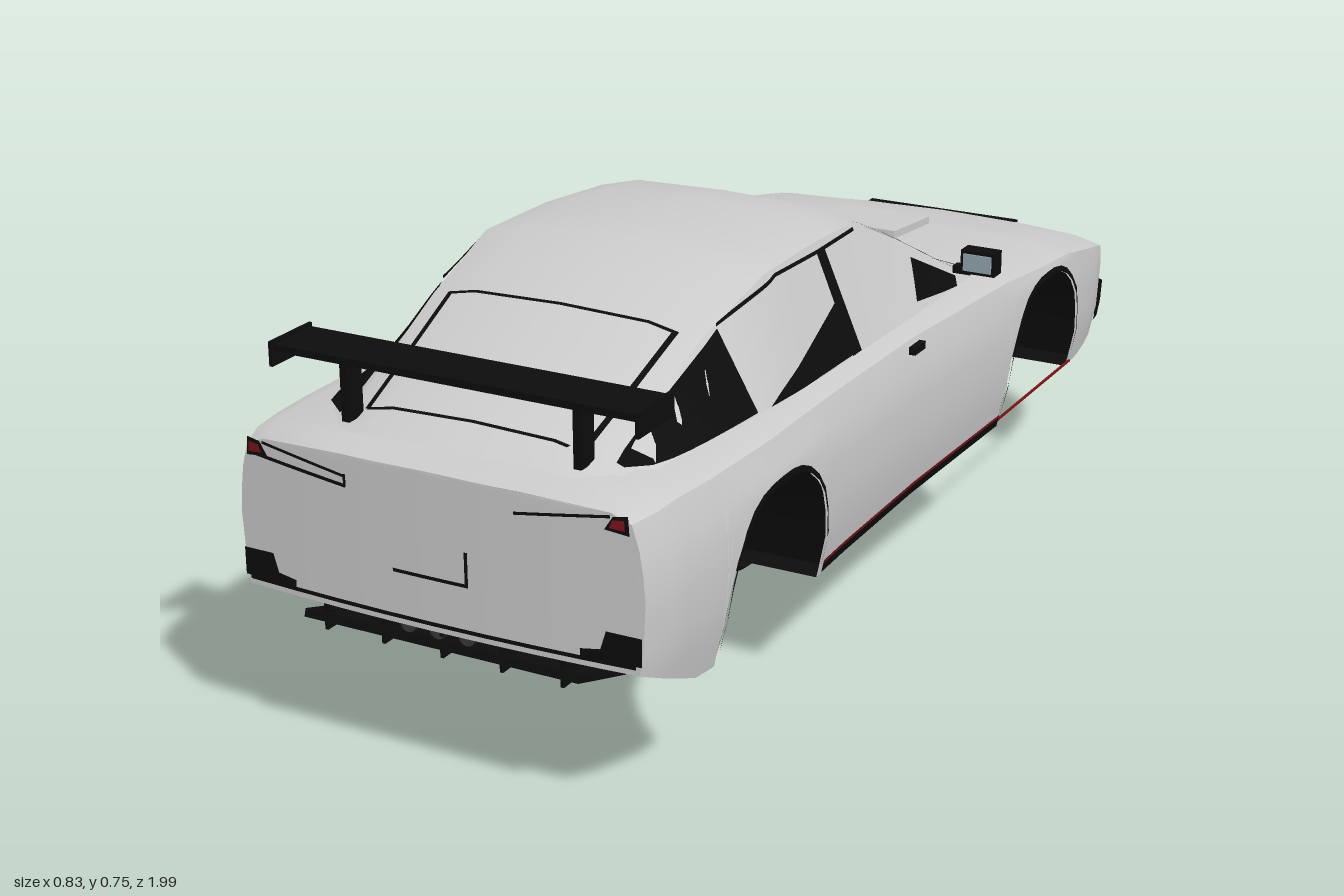
import * as THREE from 'three';
import { toCreasedNormals } from 'three/addons/utils/BufferGeometryUtils.js';

const mat = (color, o = {}) => new THREE.MeshStandardMaterial({ color, side: THREE.DoubleSide, ...o });
const grey = mat(0xcccccc), black = mat(0x0c0c0c), red = mat(0x7d1216), glass = mat(0x93a8b0), dark = mat(0x2a2a2a);

// Piecewise-linear lookup in [[key, value], ...]
const table = (t) => (k) => {
  if (k <= t[0][0]) return t[0][1];
  for (let i = 1; i < t.length; i++) {
    const [a, va] = t[i - 1], [b, vb] = t[i];
    if (k <= b) return va + (vb - va) * (k - a) / (b - a);
  }
  return t[t.length - 1][1];
};
const lerp = THREE.MathUtils.lerp;
const REAR = 0.975, NOSE = -0.97, ARCHES = [0.585, -0.572], ARCH_R = 0.187;

// Body profiles along z
const halfW = table([[-0.97, 0.355], [-0.95, 0.378], [-0.85, 0.397], [-0.57, 0.407], [0, 0.395], [0.3, 0.4], [0.6, 0.412], [0.8, 0.408], [0.93, 0.395], [0.975, 0.375]]);
const deckY = table([[-0.97, 0.435], [-0.9, 0.46], [-0.7, 0.5], [-0.4, 0.525], [0, 0.54], [0.5, 0.55], [0.9, 0.555], [0.975, 0.545]]);
const floorY = table([[-0.97, 0.24], [-0.8, 0.217], [0.82, 0.207], [0.975, 0.275]]);
const bulge = table([[0.2, 0.93], [0.3, 0.985], [0.4, 1], [0.47, 0.985], [0.54, 0.93]]);
// Cabin profiles along z
const roofY = table([[-0.4, 0.527], [-0.3, 0.575], [-0.2, 0.63], [-0.1, 0.685], [0.02, 0.742], [0.2, 0.755], [0.39, 0.755], [0.58, 0.698], [0.75, 0.625], [0.92, 0.555]]);
const roofW = table([[-0.4, 0.328], [0.02, 0.255], [0.2, 0.265], [0.39, 0.27], [0.58, 0.255], [0.92, 0.235]]);
const beltW = table([[-0.4, 0.332], [-0.2, 0.345], [0.4, 0.348], [0.92, 0.325]]);
const beltY = (z) => deckY(z) - 0.012;
const edgeY = (z) => Math.max(beltY(z) + 0.003, roofY(z) - 0.025);

const archU = (z) => Math.min(...ARCHES.map((c) => Math.abs(z - c) / ARCH_R));
const lowY = (z) => {
  const u = archU(z);
  return floorY(z) + (u < 1 ? 0.25 * Math.pow(1 - Math.pow(u, 2.6), 1 / 2.6) : 0);
};
const bodyX = (z, y) => halfW(z) * bulge(y);
const endZ = (x, s) => s > 0 ? REAR + 0.015 * (1 - (x / 0.375) ** 2) : NOSE - 0.02 * (1 - (x / 0.355) ** 2);
const cabinX = (z, y) => lerp(beltW(z), roofW(z), THREE.MathUtils.clamp((y - beltY(z)) / (edgeY(z) - beltY(z)), 0, 1));
const cabinTop = (x, z) => {
  const e = roofW(z), a = Math.abs(x) / e, m = lerp(edgeY(z), roofY(z), 0.8);
  return a > 0.7 ? lerp(m, edgeY(z), (a - 0.7) / 0.3) : lerp(roofY(z), m, a / 0.7);
};

// Surface through rows of points
function surface(rows, crease = 0.6) {
  const n = rows[0].length, index = [];
  for (let i = 0; i < rows.length - 1; i++)
    for (let j = 0; j < n - 1; j++) {
      const a = i * n + j;
      index.push(a, a + 1, a + n, a + 1, a + n + 1, a + n);
    }
  const g = new THREE.BufferGeometry();
  g.setAttribute('position', new THREE.Float32BufferAttribute(rows.flat(2), 3));
  g.setIndex(index);
  return toCreasedNormals(g, crease);
}

// Flat outline, subdivided and laid on a curved surface by map(a, b)
function patch(points, map) {
  const v = points.map((p) => new THREE.Vector2(...p)), pos = [];
  const split = (a, b, c, d) => {
    if (!d) { for (const p of [a, b, c]) pos.push(...map(p.x, p.y)); return; }
    const ab = a.clone().lerp(b, 0.5), bc = b.clone().lerp(c, 0.5), ca = c.clone().lerp(a, 0.5);
    split(a, ab, ca, d - 1); split(ab, b, bc, d - 1); split(ca, bc, c, d - 1); split(ab, bc, ca, d - 1);
  };
  for (const [a, b, c] of THREE.ShapeUtils.triangulateShape(v, [])) split(v[a], v[b], v[c], 3);
  const g = new THREE.BufferGeometry();
  g.setAttribute('position', new THREE.Float32BufferAttribute(pos, 3));
  g.computeVertexNormals();
  return g;
}
const rect = (a0, b0, a1, b1) => [[a0, b0], [a1, b0], [a1, b1], [a0, b1]];
const stroke = ([ax, ay], [bx, by], w = 0.006) => {
  const l = Math.hypot(bx - ax, by - ay), nx = -(by - ay) / l * w / 2, ny = (bx - ax) / l * w / 2;
  return [[ax + nx, ay + ny], [bx + nx, by + ny], [bx - nx, by - ny], [ax - nx, ay - ny]];
};

export function createModel() {
  const car = new THREE.Group();
  car.name = 'car';
  const add = (name, geo, m = grey, x = 0, y = 0, z = 0, parent = car) => {
    const mesh = new THREE.Mesh(geo, m);
    mesh.name = name;
    mesh.position.set(x, y, z);
    parent.add(mesh);
    return mesh;
  };
  const box = (name, w, h, d, m, x, y, z, parent) => add(name, new THREE.BoxGeometry(w, h, d), m, x, y, z, parent);

  // Body shell with wheel arches cut into its lower edge
  const zs = [];
  for (let i = 0; i <= 40; i++) zs.push(lerp(NOSE, REAR, i / 40));
  for (const c of ARCHES) {
    for (let i = -8; i <= 8; i++) zs.push(c + ARCH_R * 0.9995 * Math.sin(i * Math.PI / 16));
    zs.push(c - ARCH_R * 1.0005, c + ARCH_R * 1.0005);
  }
  zs.sort((a, b) => a - b);
  const half = (z) => {
    const w = halfW(z), top = deckY(z), pts = [];
    for (let i = 0; i <= 6; i++) {
      const y = lerp(lowY(z), top - 0.022, i / 6);
      pts.push([bodyX(z, y), y]);
    }
    pts.push([w * 0.85, top - 0.008], [w * 0.45, top - 0.002], [0, top]);
    return pts.map(([x, y]) => [x, y, z === NOSE ? endZ(x, -1) : z === REAR ? endZ(x, 1) : z]);
  };
  add('bodyShell', surface(zs.map((z) => {
    const h = half(z);
    return [...h, ...h.slice(0, -1).reverse().map(([x, y, q]) => [-x, y, q])];
  })));
  for (const s of [1, -1])
    add(s > 0 ? 'tailPanel' : 'nosePanel', surface(half(s > 0 ? REAR : NOSE).map(([w, y]) =>
      Array.from({ length: 13 }, (_, k) => { const x = w * (k / 6 - 1) * s; return [x, y, endZ(x, s)]; }))));

  // Underside and wheel wells
  add('floor', surface(zs.map((z) => {
    const w = archU(z) < 1 ? 0.22 : bodyX(z, floorY(z));
    return [-1, 0, 1].map((k) => [k * w, floorY(z), z]);
  })), black);
  for (const c of ARCHES) for (const s of [1, -1]) {
    const arc = Array.from({ length: 17 }, (_, i) => {
      const z = c + ARCH_R * 0.999 * Math.sin((i - 8) * Math.PI / 16);
      return [z, lowY(z)];
    });
    add('wheelWell', surface(arc.map(([z, y]) => [[s * bodyX(z, y), y, z], [s * 0.22, y, z]])), black);
    add('wheelWellWall', patch(arc, (z, y) => [s * 0.22, y, z]), black);
    add('archLip', surface(arc.map(([z, y]) => [[s * (bodyX(z, y) + 0.004), y, z],
      [s * (bodyX(z, y + 0.012) + 0.004), y + 0.012, z]])), black);
  }

  // Cabin
  const cz = [-0.4, -0.3, -0.2, -0.1, 0.02, 0.1, 0.2, 0.3, 0.39, 0.48, 0.58, 0.67, 0.75, 0.84, 0.92];
  add('cabin', surface(cz.map((z) => {
    const e = roofW(z), h = [[beltW(z), beltY(z) - 0.01, z], ...[1, 0.7, 0].map((k) => [k * e, cabinTop(k * e, z), z])];
    return [...h, ...h.slice(0, -1).reverse().map(([x, y, q]) => [-x, y, q])];
  }), 0.5));
  const onTop = (x, z) => [x, cabinTop(x, z) + 0.004, z];
  for (const [name, a, b] of [['rearGlassTrim', [-0.22, 0.59], [0.22, 0.59]], ['rearGlassTrim', [-0.2, 0.86], [0.2, 0.86]],
    ['wiper', [-0.18, -0.375], [0.0, -0.385]], ['wiper', [0.03, -0.375], [0.2, -0.39]], ['windshieldTrim', [-0.32, -0.392], [0.32, -0.392]]])
    add(name, patch(stroke(a, b), onTop), black);

  for (const s of [1, -1]) {
    // Side windows, pillars and trim
    const onCabin = (z, y) => [s * (cabinX(z, y) + 0.004), y, z];
    const onBody = (z, y) => [s * (bodyX(z, y) + 0.004), y, z];
    add('rearQuarterWindow', patch([[0.86, 0.553], [0.54, 0.682], [0.54, 0.55]], onCabin), black);
    add('rearWindowShade', patch([[0.5, 0.547], [0.2, 0.63], [0.2, 0.542]], onCabin), black);
    add('centrePillar', patch(rect(0.165, 0.54, 0.2, 0.715), onCabin), black);
    add('frontWindowShade', patch([[-0.09, 0.55], [-0.14, 0.615], [-0.29, 0.54], [-0.27, 0.527]], onCabin), black);
    add('windowTrim', patch(stroke([0.54, 0.688], [0.36, 0.722]), onCabin), black);
    add('windowTrim', patch(stroke([0.36, 0.722], [0.03, 0.71]), onCabin), black);
    add('rearGlassTrim', patch(stroke([s * 0.215, 0.59], [s * 0.2, 0.86], 0.01), onTop), black);
    add('windshieldTrim', patch(stroke([s * 0.31, -0.38], [s * 0.25, 0.0]), onTop), black);
    add('sill', patch(rect(-0.38, 0.217, 0.39, 0.234), onBody), black);
    add('sillStripe', patch(rect(-0.38, 0.234, 0.39, 0.241), onBody), red);
    box('lowerStripe', 0.004, 0.004, 0.4, red, s * 0.38, 0.226, -0.57);
    box('doorHandle', 0.012, 0.014, 0.045, black, s * 0.388, 0.505, 0.02);
    add('noseCornerVent', patch([[-0.895, 0.275], [-0.968, 0.265], [-0.968, 0.345], [-0.9, 0.35]], onBody), black);

    // Door mirror
    box('mirrorHousing', 0.068, 0.045, 0.034, black, s * 0.37, 0.57, -0.305);
    box('mirrorGlass', 0.056, 0.033, 0.004, glass, s * 0.37, 0.57, -0.287);
    box('mirrorStalk', 0.035, 0.014, 0.022, black, s * 0.335, 0.55, -0.305);

    // Lamps and bumper corners
    const onTail = (x, y) => [s * x, y, endZ(x, 1) + 0.004], onNose = (x, y) => [s * x, y, endZ(x, -1) - 0.004];
    add('tailLampSurround', patch([[0.31, 0.51], [0.352, 0.505], [0.35, 0.537], [0.325, 0.533]], onTail), black);
    add('tailLamp', patch([[0.32, 0.515], [0.346, 0.513], [0.345, 0.531], [0.325, 0.528]], (x, y) => [s * x, y, endZ(x, 1) + 0.007]), red);
    add('bumperVent', patch([[0.265, 0.292], [0.37, 0.292], [0.37, 0.34], [0.31, 0.342], [0.3, 0.31], [0.265, 0.305]], onTail), black);
    add('tailTrim', patch(stroke([0.155, 0.508], [0.32, 0.532], 0.005), onTail), black);
    add('headlampSurround', patch([[0.185, 0.378], [0.345, 0.37], [0.345, 0.405], [0.185, 0.422]], onNose), black);
    add('headlamp', patch([[0.192, 0.383], [0.342, 0.375], [0.342, 0.402], [0.192, 0.416]], (x, y) => [s * x, y, endZ(x, -1) - 0.007]), grey);
  }

  // Tail details
  const onTail = (x, y) => [x, y, endZ(x, 1) + 0.004];
  add('bumperLine', patch(rect(-0.36, 0.286, 0.36, 0.293), onTail), black);
  add('plateFrame', patch(rect(-0.07, 0.365, 0.07, 0.371), onTail), black);
  add('plateFrame', patch(rect(0.064, 0.365, 0.07, 0.425), onTail), black);
  add('tailTrim', patch(stroke([-0.335, 0.51], [-0.155, 0.492]), onTail), black);
  add('tailTrim', patch(rect(-0.159, 0.49, -0.154, 0.512), onTail), black);

  // Nose details
  const onNose = (d) => (x, y) => [x, y, endZ(x, -1) - d];
  add('grille', patch(rect(-0.17, 0.392, 0.17, 0.425), onNose(0.004)), black);
  box('grilleTop', 0.34, 0.006, 0.03, black, 0, 0.435, -0.972);
  add('lowerIntake', patch([[-0.35, 0.268], [0.35, 0.268], [0.35, 0.345], [-0.35, 0.345]], onNose(0.004)), black);
  add('frontPlate', patch(rect(-0.065, 0.275, 0.065, 0.34), onNose(0.008)), grey);
  add('frontLip', patch(rect(-0.33, 0.24, 0.33, 0.258), onNose(0.004)), red);
  add('underLip', patch(rect(-0.33, -0.97, 0.33, -0.88), (x, z) => [x, floorY(z) - 0.004, z]), red);

  // Hood scoop
  const scoop = box('hoodScoop', 0.19, 0.018, 0.17, grey, 0, 0.513, -0.605);
  scoop.rotation.x = -0.09;

  // Rear wing
  const wing = new THREE.Group();
  wing.name = 'rearWing';
  car.add(wing);
  box('wingBlade', 0.67, 0.012, 0.1, black, 0, 0.669, 0.87, wing);
  for (const s of [1, -1]) {
    box('wingEndPlate', 0.006, 0.042, 0.11, black, s * 0.336, 0.66, 0.872, wing);
    box('wingStrut', 0.014, 0.11, 0.04, black, s * 0.215, 0.612, 0.88, wing);
  }

  // Diffuser with fins and exhaust tips
  const diffuser = box('diffuser', 0.515, 0.014, 0.155, black, 0, 0.222, 0.905);
  diffuser.rotation.x = -0.32;
  for (const x of [-0.222, -0.111, 0, 0.111, 0.222]) box('diffuserFin', 0.006, 0.06, 0.1, black, x, 0.25, 0.92);
  for (const x of [-0.055, 0, 0.055])
    add('exhaustTip', new THREE.CylinderGeometry(0.015, 0.015, 0.06, 16, 1, true), dark, x, 0.272, 0.95).rotation.x = Math.PI / 2;

  // Single wheel under the middle
  const wheel = new THREE.Group();
  wheel.name = 'wheel';
  wheel.position.set(0, 0.142, 0);
  car.add(wheel);
  const tyre = [[0.1, -0.045], [0.108, -0.054], [0.13, -0.054], [0.142, -0.04], [0.142, 0.04], [0.13, 0.054], [0.108, 0.054], [0.1, 0.045], [0.1, -0.045]];
  const tyreGeo = new THREE.LatheGeometry(tyre.map((p) => new THREE.Vector2(...p)), 32);
  add('tyre', toCreasedNormals(tyreGeo, 0.6), mat(0x141414), 0, 0, 0, wheel).rotation.z = Math.PI / 2;
  add('wheelDisc', new THREE.CylinderGeometry(0.1, 0.1, 0.05, 32), black, 0, 0, 0, wheel).rotation.z = Math.PI / 2;
  add('hub', new THREE.CylinderGeometry(0.025, 0.025, 0.09, 16), dark, 0, 0, 0, wheel).rotation.z = Math.PI / 2;
  for (let i = 0; i < 5; i++) {
    const spoke = new THREE.Group();
    spoke.rotation.x = i * Math.PI * 2 / 5;
    wheel.add(spoke);
    for (const s of [1, -1]) box('spoke', 0.014, 0.085, 0.026, dark, s * 0.034, 0.058, 0, spoke);
  }
  return car;
}
